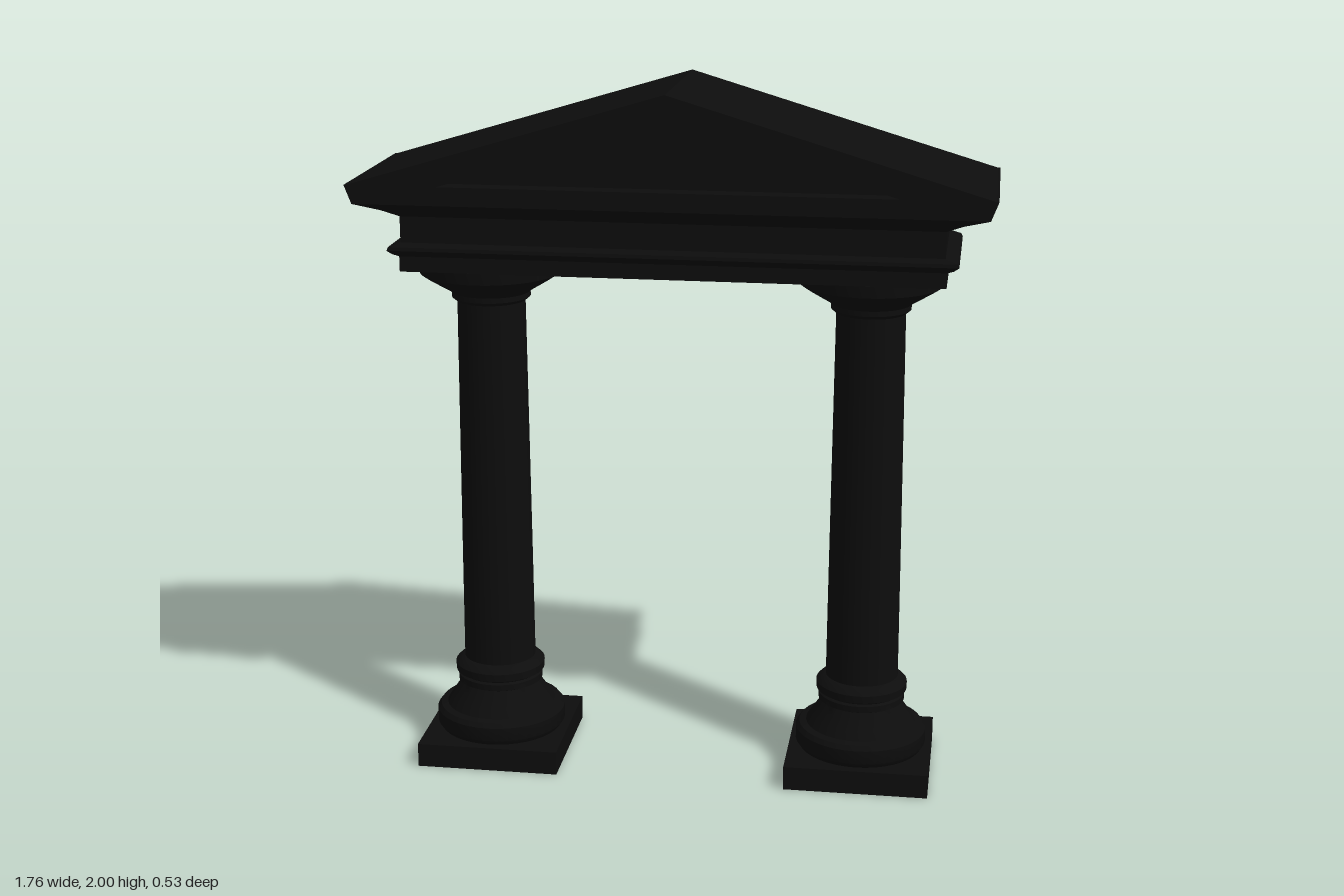
import * as THREE from 'three';
import { toCreasedNormals } from 'three/addons/utils/BufferGeometryUtils.js';

const stone = new THREE.MeshStandardMaterial({ color: 0x0d0d0d });

function addPart(parent, name, geometry) {
  const mesh = new THREE.Mesh(geometry, stone);
  mesh.name = name;
  parent.add(mesh);
  return mesh;
}

// Round moulding turned from [radius, height] points
function turned(points) {
  const profile = points.map(([r, y]) => new THREE.Vector2(r, y));
  return toCreasedNormals(new THREE.LatheGeometry(profile, 40), 0.6);
}

// Rectangular moulding stacked from [height, half width, half depth] levels
function stacked(levels) {
  const positions = [];
  const index = [];
  for (const [y, hx, hz] of levels) {
    positions.push(-hx, y, hz, hx, y, hz, hx, y, -hz, -hx, y, -hz);
  }
  for (let i = 0; i < levels.length - 1; i++) {
    for (let k = 0; k < 4; k++) {
      const a = i * 4 + k, b = i * 4 + (k + 1) % 4;
      index.push(a, b, b + 4, a, b + 4, a + 4);
    }
  }
  const t = (levels.length - 1) * 4;
  index.push(0, 2, 1, 0, 3, 2, t, t + 1, t + 2, t, t + 2, t + 3);
  const geometry = new THREE.BufferGeometry();
  geometry.setAttribute('position', new THREE.Float32BufferAttribute(positions, 3));
  geometry.setIndex(index);
  return toCreasedNormals(geometry, 0.3);
}

// Flat outline in x and y, given thickness centred on z = 0
function slab(points, depth) {
  const shape = new THREE.Shape(points.map(([x, y]) => new THREE.Vector2(x, y)));
  const geometry = new THREE.ExtrudeGeometry(shape, { depth, bevelEnabled: false });
  return geometry.translate(0, 0, -depth / 2);
}

function makeColumn(name, x) {
  const column = new THREE.Group();
  column.name = name;
  column.position.x = x;

  addPart(column, 'plinth', new THREE.BoxGeometry(0.414, 0.07, 0.414)).position.y = 0.035;
  addPart(column, 'base', turned([
    [0, 0.07], [0.18, 0.07], [0.19, 0.085], [0.19, 0.125], [0.18, 0.138],
    [0.16, 0.142], [0.145, 0.165], [0.128, 0.19], [0.115, 0.212], [0.125, 0.217],
    [0.125, 0.235], [0.118, 0.24], [0.131, 0.248], [0.132, 0.27], [0.122, 0.28],
    [0.106, 0.29], [0, 0.29],
  ]));
  addPart(column, 'shaft', turned([
    [0.105, 0.285], [0.103, 0.6], [0.1, 1.0], [0.097, 1.38],
  ]));
  addPart(column, 'capital', turned([
    [0, 1.375], [0.1, 1.375], [0.112, 1.385], [0.112, 1.4], [0.125, 1.41],
    [0.15, 1.425], [0.178, 1.442], [0.2, 1.457], [0.202, 1.49], [0, 1.49],
  ]));
  return column;
}

export function createModel() {
  const model = new THREE.Group();
  model.name = 'portico';

  model.add(makeColumn('leftColumn', 0.54), makeColumn('rightColumn', -0.54));

  // Beam with a projecting rounded band
  addPart(model, 'architrave', stacked([
    [1.49, 0.75, 0.2], [1.533, 0.75, 0.2], [1.54, 0.768, 0.208], [1.55, 0.782, 0.213],
    [1.56, 0.778, 0.211], [1.568, 0.755, 0.204], [1.572, 0.745, 0.2], [1.65, 0.745, 0.2],
  ]));

  // Cornice flaring out to the eaves
  addPart(model, 'cornice', stacked([
    [1.645, 0.745, 0.2], [1.665, 0.79, 0.225], [1.688, 0.86, 0.265], [1.74, 0.88, 0.265],
  ]));

  // Gable: sloping roof around a recessed triangular panel
  addPart(model, 'roof', slab([
    [-0.88, 1.738], [-0.63, 1.738], [0, 1.925], [0.63, 1.738], [0.88, 1.738], [0, 2],
  ], 0.53));
  addPart(model, 'gablePanel', slab([[-0.7, 1.735], [0.7, 1.735], [0, 1.94]], 0.42));

  return model;
}
